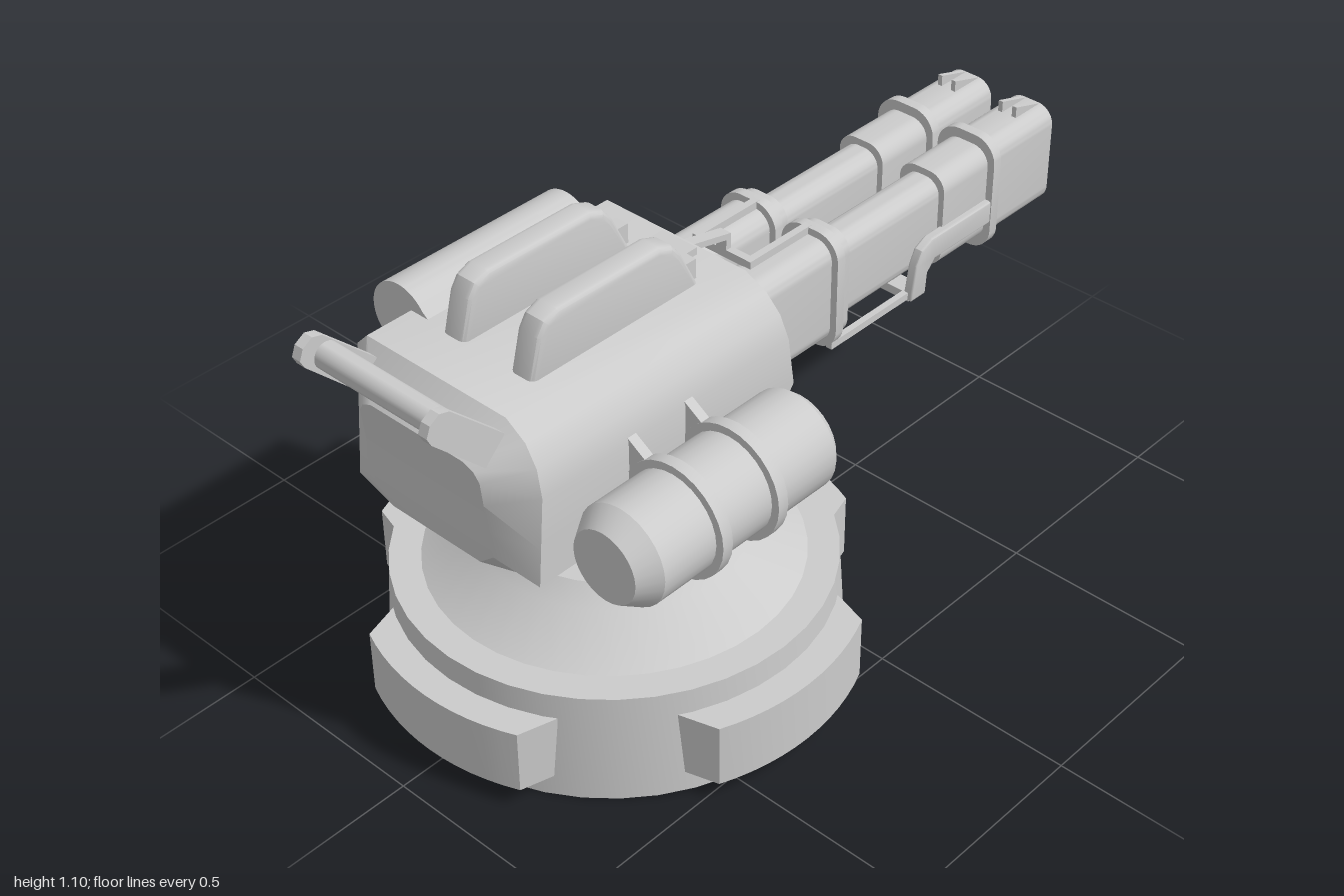
import * as THREE from 'three';
import { toCreasedNormals } from 'three/addons/utils/BufferGeometryUtils.js';

const material = new THREE.MeshStandardMaterial({ color: 0xcccccc, side: THREE.DoubleSide });
const lerp = THREE.MathUtils.lerp;

function add(parent, name, geometry, x = 0, y = 0, z = 0) {
  const mesh = new THREE.Mesh(toCreasedNormals(geometry, 0.55), material);
  mesh.name = name;
  mesh.position.set(x, y, z);
  parent.add(mesh);
  return mesh;
}

const polygon = (points) => new THREE.Shape(points.map(([a, b]) => new THREE.Vector2(a, b)));

// Side profile given as [z, y], extruded across x and centred on x = 0
function sidePlate(points, width, bevel = 0) {
  const geometry = new THREE.ExtrudeGeometry(polygon(points), {
    depth: width - 2 * bevel, bevelEnabled: bevel > 0, bevelSize: bevel, bevelThickness: bevel, bevelOffset: -bevel, bevelSegments: 3,
  });
  return geometry.rotateY(-Math.PI / 2).translate(width / 2 - bevel, 0, 0);
}

const rod = (radius, length) => new THREE.CylinderGeometry(radius, radius, length, 24).rotateZ(Math.PI / 2);

function roundedRect(w, h, r, Type = THREE.Shape) {
  const s = new Type(), x = w / 2, y = h / 2;
  s.moveTo(-x + r, -y).lineTo(x - r, -y);
  s.absarc(x - r, -y + r, r, -Math.PI / 2, 0);
  s.absarc(x - r, y - r, r, 0, Math.PI / 2);
  s.absarc(-x + r, y - r, r, Math.PI / 2, Math.PI);
  s.absarc(-x + r, -y + r, r, Math.PI, Math.PI * 1.5);
  return s;
}

// Rounded bar along z, optionally with a slot through it
function sleeve(w, h, r, z0, z1, wall = 0) {
  const shape = roundedRect(w, h, r);
  if (wall) shape.holes.push(roundedRect(w - 2 * wall, h - 2 * wall, r - wall * 0.6, THREE.Path));
  return new THREE.ExtrudeGeometry(shape, { depth: z1 - z0, bevelEnabled: false, curveSegments: 5 }).translate(0, 0, z0);
}

function buildBase() {
  const base = new THREE.Group();
  base.name = 'base';
  base.position.z = 0.345;
  const profile = [[0.5, 0], [0.52, 0], [0.502, 0.27], [0.43, 0.27], [0.31, 0.345], [0.272, 0.39], [0.255, 0.39], [0.23, 0.33], [0, 0.33]];
  add(base, 'turntable', new THREE.LatheGeometry(profile.map(([r, y]) => new THREE.Vector2(r, y)), 40));

  // Four clamp blocks around the rim
  const outer = 0.412, inner = 0.534;
  const shape = new THREE.Shape();
  shape.absarc(0, 0, 0.575, -outer, outer);
  shape.absarc(0, 0, 0.505, inner, -inner, true);
  const block = new THREE.ExtrudeGeometry(shape, { depth: 0.16, bevelEnabled: false, curveSegments: 6 }).rotateX(-Math.PI / 2);
  for (let i = 0; i < 4; i++) add(base, 'rimBlock', block, 0, 0.05, 0).rotation.y = i * Math.PI / 2;
  return base;
}

function buildBody() {
  // Rows of the cross-section: y, right x, left x; and matching rows of the rear panel: y, half width
  const rows = [[0.53, 0.17, -0.17], [0.605, 0.27, -0.27], [0.695, 0.27, -0.27], [0.82, 0.27, -0.27],
    [0.88, 0.253, -0.27], [0.925, 0.22, -0.27], [0.957, 0.165, -0.24]];
  const panel = [[0.61, 0.13], [0.65, 0.175], [0.72, 0.175], [0.79, 0.175], [0.85, 0.175], [0.872, 0.162], [0.885, 0.135]];
  const noseZ = (y) => y < 0.695 ? lerp(0.18, 0.06, (y - 0.53) / 0.165) : lerp(0.06, 0.1, (y - 0.695) / 0.26);
  const rearZ = (y) => y < 0.605 ? lerp(0.75, 0.82, (y - 0.53) / 0.075) : lerp(0.82, 0.79, (y - 0.605) / 0.35);
  const ring = (list, z) => [...list.map(([y, r]) => [r, y, z(y)]), ...list.map(([y, , l]) => [l, y, z(y)]).reverse()];
  const inset = rows.map(([y, r, l]) => [0.735 + (y - 0.735) * 0.82, r * 0.82, l * 0.82]);
  const rings = [
    ring(inset, (y) => noseZ(y) + 0.06), ring(inset, noseZ), ring(rows, noseZ), ring(rows, rearZ),
    ring(panel.map(([y, w]) => [y, w, -w]), (y) => 0.85 + (y - 0.61) * 0.11),
  ];
  const out = [], n = rows.length * 2;
  const quad = (a, b, c, d) => out.push(...a, ...b, ...c, ...a, ...c, ...d);
  for (let i = 0; i < rings.length - 1; i++)
    for (let j = 0; j < n; j++) {
      const k = (j + 1) % n;
      quad(rings[i][j], rings[i][k], rings[i + 1][k], rings[i + 1][j]);
    }
  const first = rings[0], last = rings[rings.length - 1];
  for (let j = 0; j < rows.length - 1; j++) {
    quad(last[j], last[j + 1], last[n - 2 - j], last[n - 1 - j]);
    quad(first[n - 1 - j], first[n - 2 - j], first[j + 1], first[j]);
  }
  const geometry = new THREE.BufferGeometry();
  geometry.setAttribute('position', new THREE.Float32BufferAttribute(out, 3));
  return geometry;
}

function buildBarrel(x) {
  const barrel = new THREE.Group();
  barrel.name = 'barrel';
  barrel.position.set(x, 0.737, 0);
  add(barrel, 'breech', sleeve(0.13, 0.265, 0.045, -0.2, 0.16));
  add(barrel, 'breechCollar', sleeve(0.165, 0.3, 0.06, -0.22, -0.195));
  add(barrel, 'breechStep', sleeve(0.14, 0.275, 0.05, -0.25, -0.22));
  add(barrel, 'barrelCore', sleeve(0.1, 0.215, 0.04, -0.6, -0.2));
  add(barrel, 'shroud', sleeve(0.13, 0.25, 0.045, -0.765, -0.59));
  add(barrel, 'muzzleCollar', sleeve(0.167, 0.3, 0.06, -0.778, -0.752));
  add(barrel, 'muzzle', sleeve(0.132, 0.26, 0.045, -1, -0.77, 0.024));
  add(barrel, 'boreEnd', sleeve(0.1, 0.23, 0.03, -0.91, -0.78));
  for (const s of [-1, 1]) {
    add(barrel, 'sightFin', sidePlate([[-0.905, 0.12], [-0.905, 0.158], [-0.995, 0.131], [-0.995, 0.12]], 0.012), s * 0.02);
    // Gas pipe with a swan-neck bend
    add(barrel, 'gasPipe', sidePlate([[-0.765, -0.068], [-0.765, -0.008], [-0.535, -0.008], [-0.5, -0.025], [-0.482, -0.06],
      [-0.47, -0.13], [-0.47, -0.15], [-0.52, -0.15], [-0.525, -0.095], [-0.55, -0.068]], 0.026, 0.006), s * 0.068);
    add(barrel, 'lowerRail', new THREE.BoxGeometry(0.016, 0.018, 0.3), s * 0.06, -0.139, -0.35);
  }
  add(barrel, 'pipeBridge', new THREE.BoxGeometry(0.14, 0.022, 0.05), 0, -0.142, -0.495);
  return barrel;
}

function buildCanister() {
  const canister = new THREE.Group();
  canister.name = 'canister';
  canister.position.set(0.392, 0.69, 0);
  const lathe = (points) => new THREE.LatheGeometry(points.map(([r, z]) => new THREE.Vector2(r, z)), 28).rotateX(Math.PI / 2);
  add(canister, 'tank', lathe([[0, 0.24], [0.065, 0.24], [0.075, 0.18], [0.1, 0.18], [0.117, 0.2], [0.117, 0.71], [0.085, 0.76], [0, 0.76]]));
  for (const z of [0.385, 0.55]) {
    add(canister, 'tankBand', lathe([[0.11, z - 0.014], [0.136, z - 0.014], [0.136, z + 0.014], [0.11, z + 0.014]]));
    const strut = polygon([[-0.14, 0.15], [-0.07, 0.105], [-0.1, 0.02], [-0.14, 0.02]]);
    add(canister, 'tankStrut', new THREE.ExtrudeGeometry(strut, { depth: 0.024, bevelEnabled: false }), 0, 0, z - 0.012);
  }
  return canister;
}

export function createModel() {
  const model = new THREE.Group();
  model.name = 'turret';
  model.add(buildBase());

  // Pivot between base and gun body
  for (const s of [-1, 1]) {
    add(model, 'pivotBrace', sidePlate([[0.54, 0.5], [0.5, 0.55], [0.43, 0.55], [0.2, 0.32], [0.36, 0.32], [0.53, 0.43]], 0.062), s * 0.061);
    add(model, 'pivotHub', rod(0.07, 0.04), s * 0.11, 0.478, 0.468);
    add(model, 'pivotBolt', rod(0.04, 0.05), s * 0.111, 0.478, 0.468);
  }

  add(model, 'gunBody', buildBody());
  model.add(buildBarrel(-0.092), buildBarrel(0.09), buildCanister());

  // Rounded housing along one upper edge
  const pod = new THREE.Shape();
  pod.moveTo(-0.2, 0.815).lineTo(-0.3, 0.815);
  pod.absarc(-0.275, 0.92, 0.085, Math.PI * 1.17, Math.PI * 0.2, true);
  pod.lineTo(-0.17, 0.94);
  add(model, 'sidePod', new THREE.ExtrudeGeometry(pod, { depth: 0.48, bevelEnabled: false, curveSegments: 14 }), 0, 0, 0.19);
  add(model, 'podPort', new THREE.CylinderGeometry(0.04, 0.04, 0.02, 20).rotateX(Math.PI / 2), -0.28, 0.92, 0.187);

  // Top fins
  for (const x of [-0.106, 0.091]) {
    add(model, 'topFin', sidePlate([[0.685, 0.93], [0.655, 1.05], [0.635, 1.08], [0.6, 1.095], [0.31, 1.095], [0.27, 1.08],
      [0.245, 1.05], [0.185, 0.93]], 0.066, 0.016), x);
    add(model, 'finFoot', new THREE.BoxGeometry(0.035, 0.06, 0.05), x, 0.975, 0.215);
  }

  // Rear grab handle
  for (const x of [-0.198, 0.166])
    add(model, 'handleArm', sidePlate([[0.77, 0.9], [0.94, 1.063], [0.965, 1.07], [0.99, 1.055], [1, 1.03], [0.99, 1.01],
      [0.85, 0.87], [0.81, 0.85]], 0.024), x);
  add(model, 'handleBar', rod(0.031, 0.37), -0.016, 1.013, 0.935);

  // Bracket and rails joining the body top to the barrels
  add(model, 'bracketBase', new THREE.BoxGeometry(0.1, 0.03, 0.05), 0, 0.96, 0.15);
  add(model, 'bracketArm', sidePlate([[0.17, 0.955], [0.17, 0.97], [-0.02, 0.926], [-0.02, 0.875], [-0.005, 0.875], [-0.005, 0.914]], 0.03));
  add(model, 'railCross', new THREE.BoxGeometry(0.17, 0.02, 0.02), 0, 0.878, -0.015);
  for (const s of [-1, 1]) add(model, 'topRail', new THREE.BoxGeometry(0.018, 0.02, 0.19), s * 0.076, 0.878, -0.11);
  return model;
}
